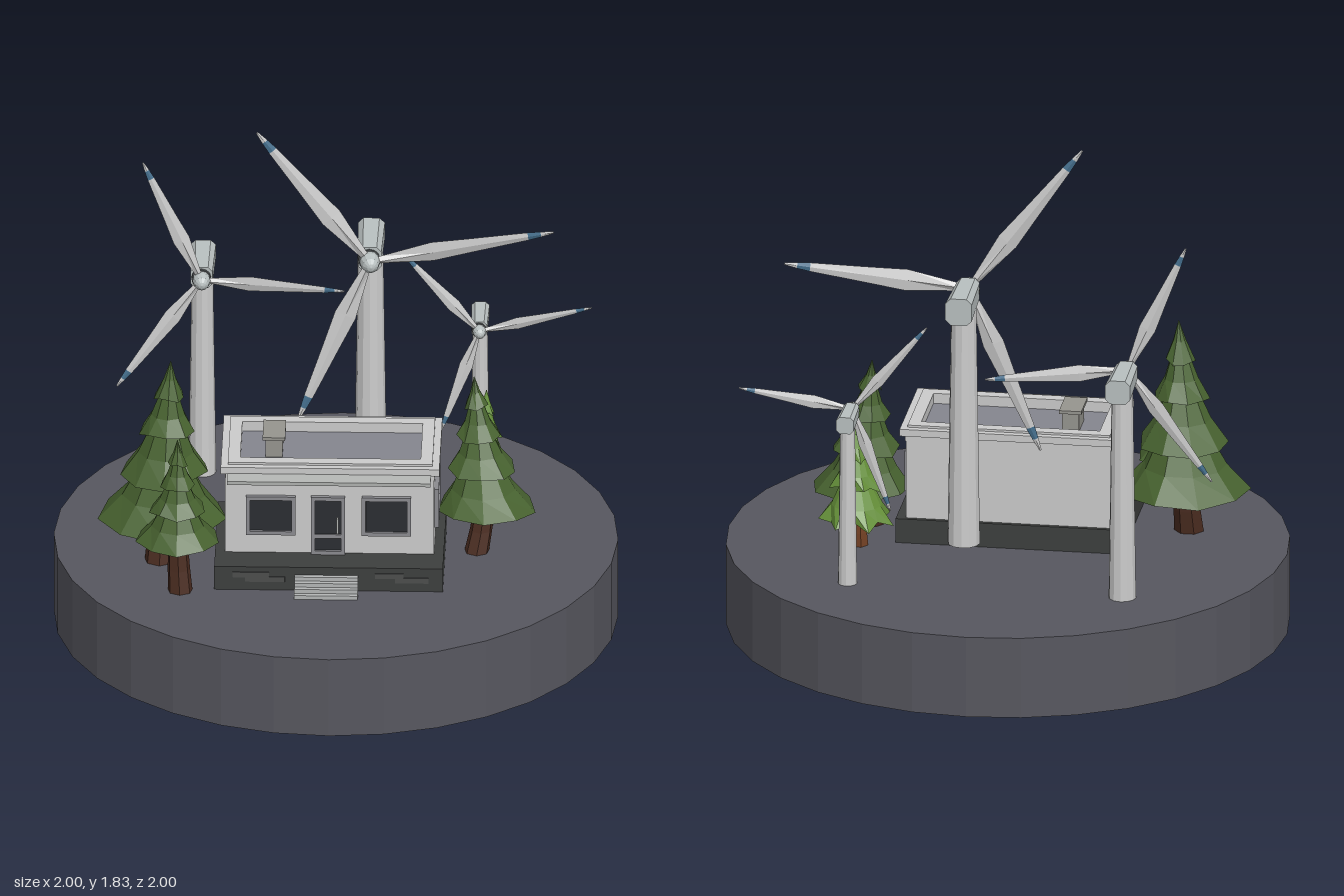
import * as THREE from 'three';

const mat = (color, extra = {}) => {
  const m = new THREE.MeshStandardMaterial({ color, flatShading: true, ...extra });
  return m;
};
const M = {
  ground: mat(0x57575f), stone: mat(0x3d3f3e), stoneDark: mat(0x4c4e4d), wall: mat(0xc9c7cb), trim: mat(0xb4b6b4),
  roof: mat(0x85868f), frame: mat(0x8b8b90), glass: mat(0x2b2d32), step: mat(0xb4b6b6), vent: mat(0x96958f),
  tower: mat(0xc6c6ca), nacelle: mat(0xb9c0c0), ring: mat(0x55585a), blue: mat(0x45708f),
  bark: mat(0x4a2c20), barkLight: mat(0x7a4527),
  pine: mat(0x486330, { side: THREE.DoubleSide }), lime: mat(0x66913a, { side: THREE.DoubleSide }),
};

function add(parent, name, geo, material, x = 0, y = 0, z = 0) {
  const mesh = new THREE.Mesh(geo, material);
  mesh.name = name;
  mesh.position.set(x, y, z);
  parent.add(mesh);
  return mesh;
}

// box given by its limits on each axis
function box(parent, name, material, x0, x1, y0, y1, z0, z1) {
  return add(parent, name, new THREE.BoxGeometry(x1 - x0, y1 - y0, z1 - z0), material,
    (x0 + x1) / 2, (y0 + y1) / 2, (z0 + z1) / 2);
}

function group(parent, name, x = 0, y = 0, z = 0) {
  const g = new THREE.Group();
  g.name = name;
  g.position.set(x, y, z);
  parent.add(g);
  return g;
}

// rectangular border, extruded along +z
function border(w, h, t, depth) {
  const rect = (C, a, b) => new C([[-a, -b], [a, -b], [a, b], [-a, b]].map(p => new THREE.Vector2(...p)));
  const s = rect(THREE.Shape, w / 2, h / 2);
  s.holes.push(rect(THREE.Path, w / 2 - t, h / 2 - t));
  return new THREE.ExtrudeGeometry(s, { depth, bevelEnabled: false });
}

function pane(parent, name, w, h, x, y, z, turn = 0) {
  const g = group(parent, name, x, y, z);
  g.rotation.y = turn;
  add(g, name + 'Frame', border(w, h, 0.014, 0.016), M.frame);
  box(g, name + 'Glass', M.glass, -w / 2 + 0.01, w / 2 - 0.01, -h / 2 + 0.01, h / 2 - 0.01, -0.01, 0.006);
  return g;
}

function house(root) {
  const g = group(root, 'house');
  box(g, 'plinth', M.stone, -0.42, 0.39, 0.29, 0.39, -0.085, 0.44);
  for (const [x, y, w] of [[-0.29, 0.36, 0.13], [-0.24, 0.343, 0.14], [0.2, 0.36, 0.1], [0.28, 0.343, 0.12]])
    box(g, 'plinthStone', M.stoneDark, x - w / 2, x + w / 2, y - 0.01, y + 0.01, 0.43, 0.444);
  for (let i = 0; i < 4; i++)
    box(g, 'step', M.step, -0.135, 0.09, 0.3, 0.315 + i * 0.015, 0.43, 0.515 - i * 0.019);

  // walls, flat roof inside a parapet, front awning
  box(g, 'walls', M.wall, -0.385, 0.355, 0.39, 0.68, -0.07, 0.32);
  box(g, 'roofPanel', M.roof, -0.36, 0.33, 0.68, 0.7, -0.05, 0.3);
  const flat = (name, geo, y, m) => { add(g, name, geo, m, -0.0125, y, 0.124).rotation.x = -Math.PI / 2; };
  flat('parapet', border(0.74, 0.39, 0.05, 0.05), 0.68, M.wall);
  flat('cornice', border(0.775, 0.425, 0.068, 0.026), 0.704, M.wall);
  flat('parapetCap', border(0.725, 0.375, 0.043, 0.008), 0.73, M.wall);
  box(g, 'awning', M.trim, -0.375, 0.345, 0.692, 0.706, 0.3, 0.395).rotation.x = 0.06;

  // rooftop vent
  box(g, 'ventBody', M.vent, -0.245, -0.185, 0.69, 0.77, 0.06, 0.185);
  box(g, 'ventCap', M.vent, -0.255, -0.175, 0.768, 0.78, 0.05, 0.195);

  // openings
  pane(g, 'leftmostWindow', 0.175, 0.15, -0.2225, 0.54, 0.32);
  pane(g, 'frontWindow', 0.175, 0.15, 0.1875, 0.54, 0.32);
  pane(g, 'sideWindow', 0.26, 0.15, 0.355, 0.54, 0.13, Math.PI / 2);
  const door = pane(g, 'door', 0.12, 0.225, -0.02, 0.5025, 0.32);
  box(door, 'doorRail', M.frame, -0.05, 0.05, -0.05, -0.035, 0, 0.012);
  box(door, 'doorHandle', M.trim, 0.03, 0.038, -0.03, 0.03, 0, 0.018);
}

// thin diamond-section loft along y; stations run from tip to root: [distance, half width, half thickness]
function loft(stations) {
  const n = stations.length - 1;
  const geo = new THREE.CylinderGeometry(1, 1, 1, 4, n);
  const p = geo.attributes.position;
  for (let i = 0; i < p.count; i++) {
    const [r, w, t] = stations[Math.round((0.5 - p.getY(i)) * n)];
    p.setXYZ(i, p.getX(i) * w, r, p.getZ(i) * t);
  }
  geo.computeVertexNormals();
  return geo;
}

function turbine(root, o) {
  const s = o.size, L = o.blade, k = L / 0.66;
  const g = group(root, 'windTurbine', o.x, 0, 0);
  const top = o.y - 0.03 * s;
  add(g, 'tower', new THREE.CylinderGeometry(o.r * 0.78, o.r, top - o.base, 12), M.tower,
    0, (top + o.base) / 2, o.towerZ);

  // chamfered nacelle, slightly narrower towards the rotor
  const a = o.w / 2, b = o.h / 2, c = a * 0.4;
  const outline = [[-a, -b + c], [-a + c, -b], [a - c, -b], [a, -b + c], [a, b - c], [a - c, b], [-a + c, b], [-a, b - c]];
  const depth = o.front - o.back;
  const geo = new THREE.ExtrudeGeometry(new THREE.Shape(outline.map(p => new THREE.Vector2(...p))),
    { depth, bevelEnabled: false });
  const p = geo.attributes.position;
  for (let i = 0; i < p.count; i++)
    if (p.getZ(i) > depth / 2) p.setXY(i, p.getX(i) * 0.86, p.getY(i) * 0.92);
  add(g, 'nacelle', geo, M.nacelle, 0, o.y, o.back);

  // rotor: collar, spinner and three blades
  const rotor = group(g, 'rotor', 0, o.y, o.rotorZ);
  rotor.rotation.y = o.yaw;
  add(rotor, 'collar', new THREE.CylinderGeometry(0.04 * s, 0.04 * s, 0.03 * s, 12), M.ring, 0, 0, -0.025 * s).rotation.x = Math.PI / 2;
  const nose = [[0, -0.025], [0.034, -0.025], [0.036, 0.01], [0.028, 0.038], [0.014, 0.053], [0, 0.057]]
    .map(q => new THREE.Vector2(q[0] * s, q[1] * s));
  add(rotor, 'spinner', new THREE.LatheGeometry(nose, 12), M.nacelle).rotation.x = Math.PI / 2;
  for (let i = 0; i < 3; i++) {
    const blade = group(rotor, 'blade');
    blade.rotation.z = THREE.MathUtils.degToRad(o.angle - 90 + i * 120);
    const pitch = group(blade, 'bladePitch');
    pitch.rotation.y = 0.12;
    const part = (name, m, st) => add(pitch, name, loft(st.map(q => [q[0] * L, q[1] * k, q[2] * k])), m);
    part('bladeBody', M.tower, [[0.86, 0.016, 0.004], [0.55, 0.029, 0.006], [0.34, 0.039, 0.008], [0.06, 0.015, 0.012], [0, 0.014, 0.012]]);
    part('bladeBand', M.blue, [[0.93, 0.011, 0.003], [0.86, 0.016, 0.004]]);
    part('bladeTip', M.tower, [[1, 0.004, 0.002], [0.93, 0.011, 0.003]]);
  }
}

// repeatable pseudo random value in -1..1
const noise = n => { const v = Math.sin(n * 127.1 + 11.7) * 43758.5453; return (v - Math.floor(v)) * 2 - 1; };

// saw-tooth lathe of drooping tiers on a bent trunk
function tree(root, o) {
  const g = group(root, 'pineTree', o.x, 0, o.z);
  const H = o.top - o.bottom, seg = o.seg;
  const rim = [1, 0.69, 0.44, 0.24], level = [0, 0.29, 0.55, 0.77, 1];
  const pts = [new THREE.Vector2(0.02, 0.09 * H)], isRim = [0];
  rim.forEach((r, i) => {
    const y = level[i] * H, step = (level[i + 1] - level[i]) * H, next = (rim[i + 1] ?? 0) * 0.58;
    pts.push(new THREE.Vector2(r * o.r, y));
    pts.push(new THREE.Vector2((r * 0.42 + next * 0.58) * o.r, y + step * 0.5));
    pts.push(new THREE.Vector2(i < 3 ? next * o.r : 0.001, y + step * (i < 3 ? 1.12 : 1)));
    isRim.push(1, 0, 0);
  });
  const geo = new THREE.LatheGeometry(pts, seg);
  const p = geo.attributes.position, n = pts.length;
  for (let i = 0; i < p.count; i++) {
    const j = i % n, a = Math.floor(i / n) % seg, y = p.getY(i);
    const spike = isRim[j] ? (a % 2 ? -o.jag : 0) + 0.05 * noise(a * 7 + j * 3 + o.seed) : 0;
    const lean = y / H;
    p.setXYZ(i, p.getX(i) * (1 + spike) + o.leanX * lean,
      y + (isRim[j] ? (0.025 * noise(a * 5 + j + o.seed) - spike * 0.1) * H : 0),
      p.getZ(i) * (1 + spike) + o.leanZ * lean);
  }
  geo.computeVertexNormals();
  add(g, 'foliage', geo, o.leaf, 0, o.bottom, 0);

  const h = o.bottom + 0.18 * H - 0.29;
  const trunk = new THREE.CylinderGeometry(o.trunk * 0.7, o.trunk, h, 7, 3);
  const t = trunk.attributes.position;
  for (let i = 0; i < t.count; i++) {
    const f = (0.5 - t.getY(i) / h) ** 2;
    t.setX(i, t.getX(i) + o.bendX * f);
    t.setZ(i, t.getZ(i) + o.bendZ * f);
  }
  add(g, 'trunk', trunk, o.bark, 0, 0.29 + h / 2, 0);
}

export function createModel() {
  const root = new THREE.Group();
  root.name = 'windFarm';
  add(root, 'groundDisc', new THREE.CylinderGeometry(1, 1, 0.3, 32), M.ground, 0, 0.15, 0);
  house(root);

  turbine(root, { x: 0.115, y: 1.305, base: 0.39, towerZ: -0.288, r: 0.058, size: 1, blade: 0.66, w: 0.095, h: 0.1,
    back: -0.413, front: -0.18, rotorZ: -0.163, yaw: 0.117, angle: 7.4 });
  turbine(root, { x: -0.487, y: 1.113, base: 0.3, towerZ: -0.513, r: 0.049, size: 0.88, blade: 0.51, w: 0.09, h: 0.088,
    back: -0.625, front: -0.41, rotorZ: -0.39, yaw: 0.06, angle: -6 });
  turbine(root, { x: 0.497, y: 0.917, base: 0.3, towerZ: -0.515, r: 0.034, size: 0.66, blade: 0.408, w: 0.064, h: 0.062,
    back: -0.58, front: -0.42, rotorZ: -0.405, yaw: 0.117, angle: 10.5 });

  const pine = { leaf: M.pine, bark: M.bark, seg: 9, jag: 0 };
  tree(root, { ...pine, x: -0.61, z: 0.175, bottom: 0.465, top: 1.085, r: 0.23, leanX: 0.03, leanZ: 0.035,
    trunk: 0.055, bendX: -0.01, bendZ: 0.03, seed: 1 });
  tree(root, { ...pine, x: -0.55, z: 0.43, bottom: 0.495, top: 0.89, r: 0.145, leanX: 0, leanZ: 0.02,
    trunk: 0.045, bendX: 0.01, bendZ: 0.02, seed: 5 });
  tree(root, { ...pine, x: 0.53, z: 0.065, bottom: 0.46, top: 0.945, r: 0.178, leanX: -0.04, leanZ: -0.045,
    trunk: 0.045, bendX: -0.03, bendZ: 0.04, seed: 9 });
  tree(root, { leaf: M.lime, bark: M.barkLight, seg: 14, jag: 0.28, x: 0.52, z: -0.135, bottom: 0.4, top: 0.82, r: 0.14,
    leanX: 0.01, leanZ: 0.005, trunk: 0.04, bendX: 0, bendZ: 0.02, seed: 13 });
  return root;
}
